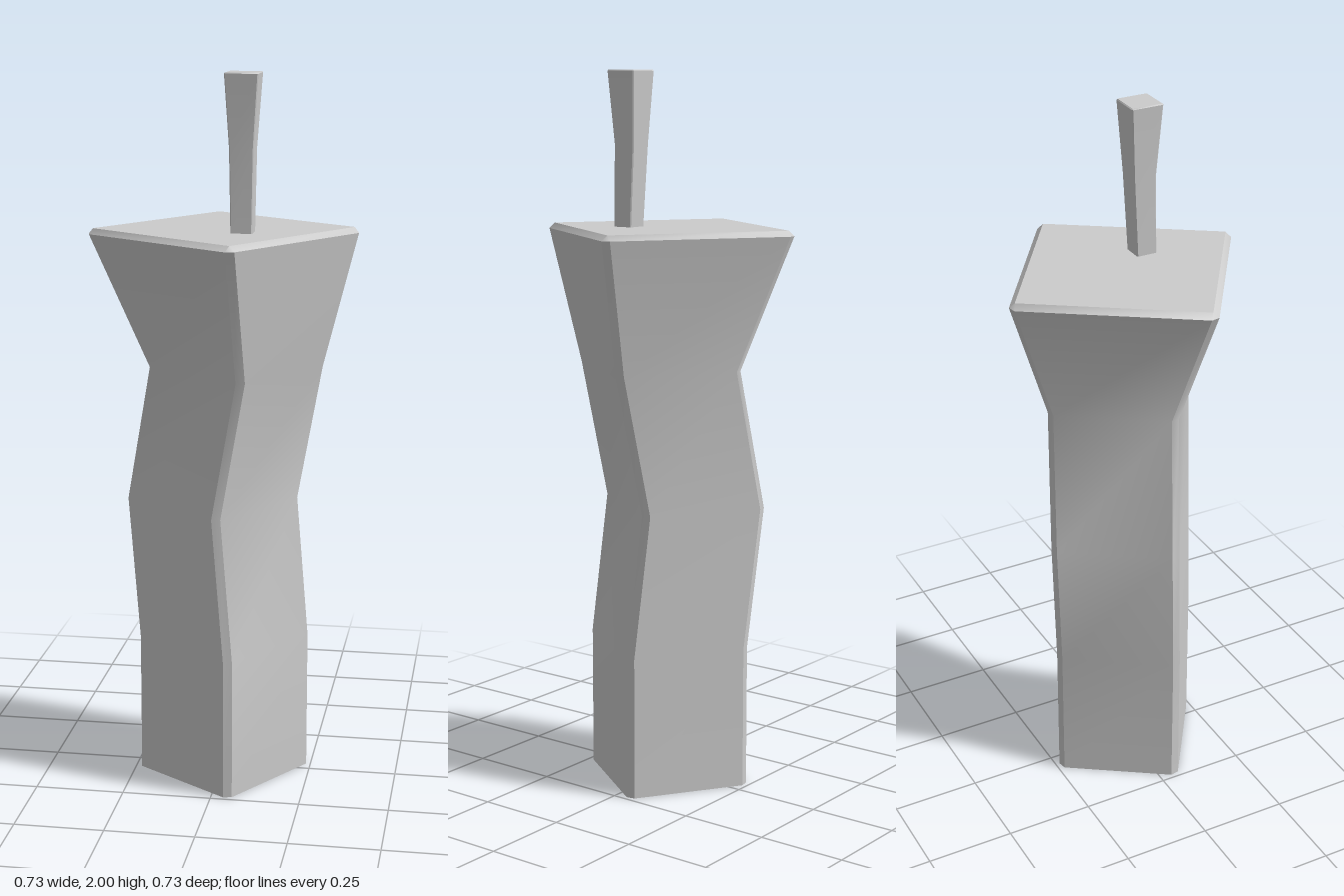
import * as THREE from 'three';
import { toCreasedNormals } from 'three/addons/utils/BufferGeometryUtils.js';

// Chamfered square ring: r = centre-to-corner distance, c = chamfer width, turn = angle of first corner
function ring({ y, x = 0, z = 0, r, c }, turn) {
  const points = [];
  for (let i = 0; i < 4; i++) {
    const a = turn + i * Math.PI / 2;
    for (const s of [-c / 2, c / 2]) {
      points.push([
        x + r * Math.sin(a) + s * Math.cos(a),
        y,
        z + r * Math.cos(a) - s * Math.sin(a),
      ]);
    }
  }
  return points;
}

// Closed loft through a stack of rings, bottom to top
function loft(name, sections, turn, material) {
  const rings = sections.map((s) => ring(s, turn));
  const n = rings[0].length;
  const pos = [];
  const tri = (a, b, c) => pos.push(...a, ...b, ...c);
  for (let k = 0; k < rings.length - 1; k++) {
    for (let i = 0; i < n; i++) {
      const j = (i + 1) % n;
      const lo = rings[k], hi = rings[k + 1];
      tri(lo[i], lo[j], hi[j]);
      tri(lo[i], hi[j], hi[i]);
    }
  }
  const bottom = rings[0], top = rings[rings.length - 1];
  for (let i = 1; i < n - 1; i++) {
    tri(top[0], top[i], top[i + 1]);
    tri(bottom[0], bottom[i + 1], bottom[i]);
  }
  const geometry = new THREE.BufferGeometry();
  geometry.setAttribute('position', new THREE.Float32BufferAttribute(pos, 3));
  const mesh = new THREE.Mesh(toCreasedNormals(geometry, THREE.MathUtils.degToRad(38)), material);
  mesh.name = name;
  return mesh;
}

export function createModel() {
  const group = new THREE.Group();
  const material = new THREE.MeshStandardMaterial({ color: 0xcccccc });

  // Wavering square column that flares into a bevelled top
  const c = 0.025;
  group.add(loft('body', [
    { y: 0, r: 0.24, c },
    { y: 0.4, r: 0.24, c },
    { y: 0.8, x: -0.037, z: -0.028, r: 0.24, c },
    { y: 1.19, x: 0.035, z: 0.004, r: 0.24, c },
    { y: 1.56, r: 0.37, c },
    { y: 1.575, r: 0.359, c: 0.002 },
  ], THREE.MathUtils.degToRad(11.2), material));

  // Thin off-centre stem, widening upwards
  const w = Math.SQRT2;
  group.add(loft('stem', [
    { y: 1.56, x: 0.065, z: 0.089, r: 0.028 * w, c: 0.004 },
    { y: 1.8, x: 0.064, z: 0.079, r: 0.032 * w, c: 0.004 },
    { y: 1.997, x: 0.065, z: 0.08, r: 0.0445 * w, c: 0.004 },
    { y: 2, x: 0.065, z: 0.08, r: 0.043 * w, c: 0.001 },
  ], Math.PI / 4, material));

  return group;
}
